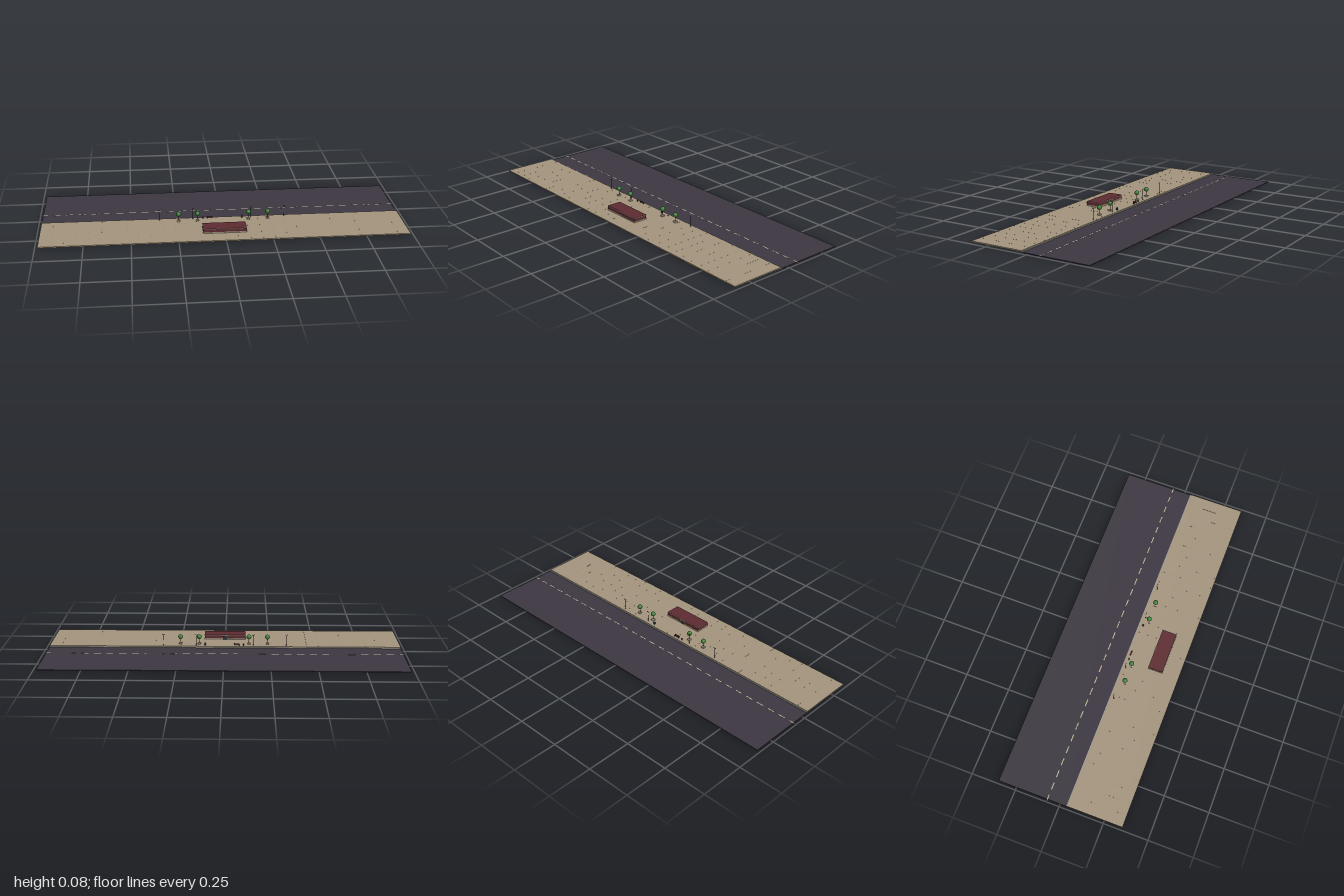
import * as THREE from 'three';

const mat = (color, flat = false) => new THREE.MeshStandardMaterial({ color, flatShading: flat });
const M = {
  road: mat(0x3b3640), paving: mat(0xa3937c), joint: mat(0x94866f), curb: mat(0x9a968c),
  paint: mat(0xb5ad92), brick: mat(0x5c2a30), stone: mat(0xb3a68f), glass: mat(0x2a3138),
  wood: mat(0x5a4030), leaf: mat(0x3b7d35), iron: mat(0x24242a), lamp: mat(0xe6dcae),
  blue: mat(0x263550), bench: mat(0x50262a),
};

function add(parent, name, geometry, material, x = 0, y = 0, z = 0) {
  const mesh = new THREE.Mesh(geometry, material);
  mesh.name = name;
  mesh.position.set(x, y, z);
  parent.add(mesh);
  return mesh;
}

// Box given by its extents along each axis
function slab(parent, name, material, [x0, x1], [y0, y1], [z0, z1]) {
  return add(parent, name, new THREE.BoxGeometry(x1 - x0, y1 - y0, z1 - z0), material,
    (x0 + x1) / 2, (y0 + y1) / 2, (z0 + z1) / 2);
}

function part(parent, name, x = 0, y = 0, z = 0) {
  const g = new THREE.Group();
  g.name = name;
  g.position.set(x, y, z);
  parent.add(g);
  return g;
}

function makeTree(parent, x, ground) {
  const t = part(parent, 'tree', x, ground, 0.085);
  slab(t, 'planter', M.stone, [-0.008, 0.008], [0, 0.006], [-0.008, 0.008]);
  slab(t, 'planterRim', M.stone, [-0.0088, 0.0088], [0.006, 0.0075], [-0.0088, 0.0088]);
  add(t, 'trunk', new THREE.CylinderGeometry(0.0011, 0.0016, 0.028, 8), M.wood, 0, 0.02, 0);
  add(t, 'crown', new THREE.SphereGeometry(0.0135, 24, 16), M.leaf, 0, 0.043, 0);
}

function makeLamp(parent, x, ground) {
  const l = part(parent, 'streetLamp', x, ground, 0.06);
  add(l, 'lampFoot', new THREE.CylinderGeometry(0.0015, 0.0022, 0.004, 10), M.iron, 0, 0.002, 0);
  add(l, 'lampPole', new THREE.CylinderGeometry(0.0009, 0.0011, 0.06, 8), M.iron, 0, 0.031, 0);
  slab(l, 'lampArm', M.iron, [-0.006, 0.006], [0.0595, 0.061], [-0.0007, 0.0007]);
  for (const s of [-1, 1]) {
    add(l, 'lampGlobe', new THREE.SphereGeometry(0.0028, 12, 8), M.lamp, s * 0.006, 0.063, 0);
  }
}

export function createModel() {
  const root = new THREE.Group();
  root.name = 'streetScene';
  const ground = 0.011;

  // Road, curb and raised pavement
  slab(root, 'road', M.road, [-0.985, 0.985], [0, 0.004], [-0.352, 0.038]);
  slab(root, 'curb', M.curb, [-0.985, 0.985], [0.003, 0.0075], [0.036, 0.045]);
  slab(root, 'pavement', M.paving, [-0.985, 0.985], [0.0047, ground], [0.042, 0.352]);

  // Pavement joints
  for (let i = 1; i < 30; i++) {
    const x = -0.985 + i * 1.97 / 30;
    slab(root, 'pavementJoint', M.joint, [x - 0.0005, x + 0.0005], [0.0108, 0.01115], [0.044, 0.351]);
  }

  // Dashed lane line
  const dashes = 29, dash = 0.04, pitch = (2 - dash) / (dashes - 1);
  for (let i = 0; i < dashes; i++) {
    const x = -1 + i * pitch;
    slab(root, 'laneDash', M.paint, [x, x + dash], [0.0036, 0.0044], [-0.0745, -0.0685]);
  }

  // Low brick building
  const b = part(root, 'building');
  slab(b, 'plinth', M.stone, [-0.117, 0.117], [ground, 0.017], [0.1755, 0.2585]);
  slab(b, 'brickWalls', M.brick, [-0.116, 0.116], [0.017, 0.0345], [0.1765, 0.2575]);
  slab(b, 'cornice', M.stone, [-0.117, 0.117], [0.0338, 0.036], [0.1755, 0.2585]);
  slab(b, 'roof', M.brick, [-0.1155, 0.1155], [0.035, 0.0363], [0.177, 0.257]);

  // Entrance on the street side
  slab(b, 'entranceDoor', M.glass, [-0.012, 0.012], [ground, 0.029], [0.1748, 0.178]);
  slab(b, 'entranceCanopy', M.stone, [-0.02, 0.02], [0.03, 0.032], [0.1725, 0.177]);

  for (const x of [-0.24, -0.136, 0.144, 0.25]) makeTree(root, x, ground);
  for (const x of [-0.345, -0.16, 0.16, 0.345]) makeLamp(root, x, ground);

  // Bench facing the road
  const bench = part(root, 'bench', -0.068, ground, 0.056);
  slab(bench, 'benchSeat', M.bench, [-0.016, 0.016], [0.0055, 0.007], [-0.004, 0.004]);
  slab(bench, 'benchBack', M.bench, [-0.016, 0.016], [0.0085, 0.013], [0.003, 0.0042]);
  for (const s of [-1, 1]) {
    slab(bench, 'benchLeg', M.iron, [s * 0.013 - 0.001, s * 0.013 + 0.001], [0, 0.0055], [-0.0035, 0.0035]);
    slab(bench, 'benchBackPost', M.iron, [s * 0.013 - 0.001, s * 0.013 + 0.001], [0.006, 0.0125], [0.0025, 0.0035]);
  }

  // Litter bin beside the bench
  const bin = part(root, 'litterBin', -0.105, ground, 0.058);
  add(bin, 'binBody', new THREE.CylinderGeometry(0.0036, 0.003, 0.01, 12), M.iron, 0, 0.005, 0);
  add(bin, 'binRim', new THREE.TorusGeometry(0.0035, 0.0005, 6, 16), M.iron, 0, 0.01, 0).rotation.x = Math.PI / 2;

  // Round-topped post box
  const box = part(root, 'postBox', 0.11, ground, 0.0615);
  slab(box, 'postBoxBody', M.blue, [-0.0038, 0.0038], [0.001, 0.012], [-0.0035, 0.0035]);
  add(box, 'postBoxTop', new THREE.CylinderGeometry(0.0035, 0.0035, 0.0076, 16), M.blue, 0, 0.012, 0)
    .rotation.z = Math.PI / 2;
  for (const sx of [-1, 1]) for (const sz of [-1, 1]) {
    add(box, 'postBoxFoot', new THREE.BoxGeometry(0.001, 0.0012, 0.001), M.blue, sx * 0.003, 0.0006, sz * 0.0028);
  }
  return root;
}
